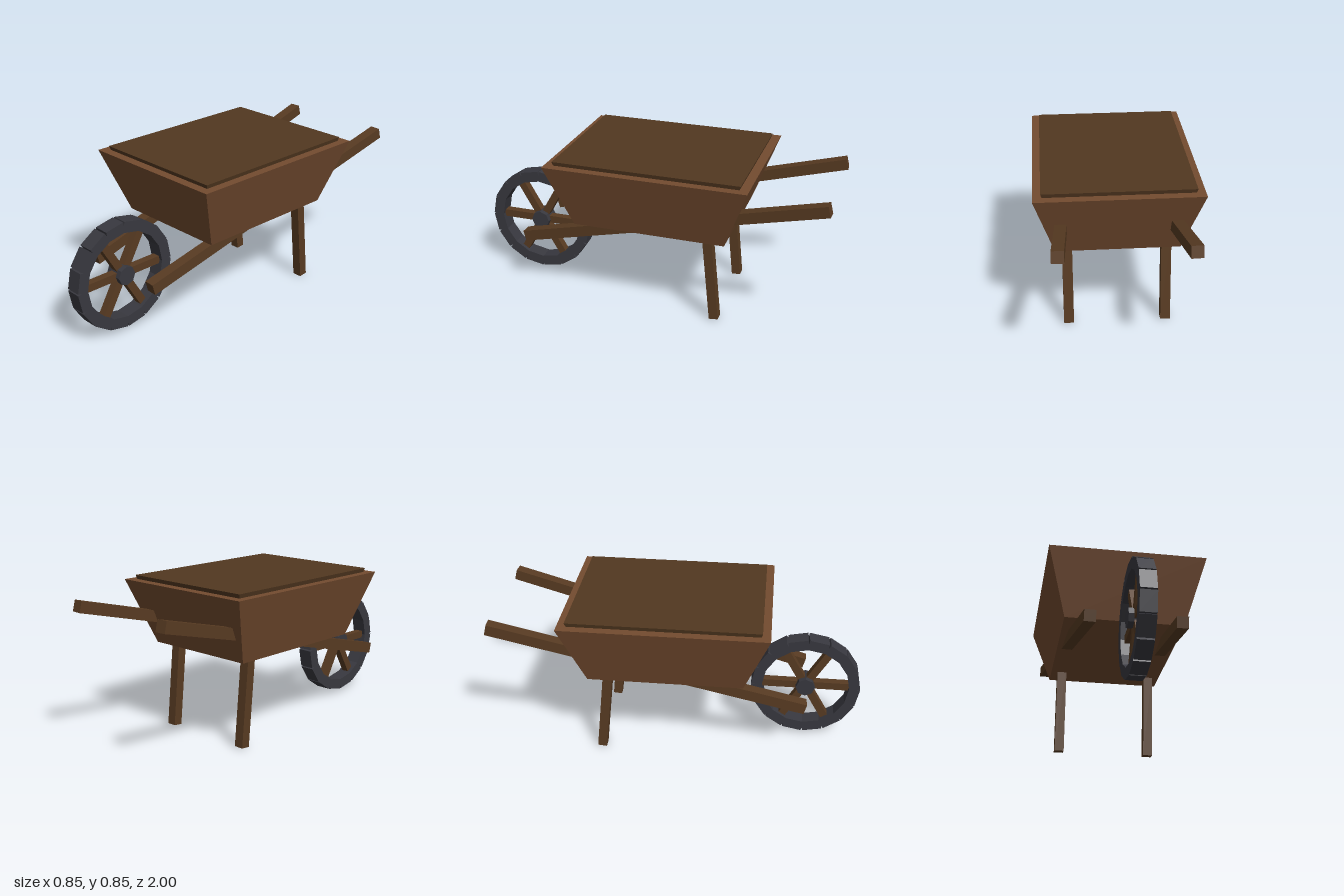
import * as THREE from 'three';

const flat = (name, color) => {
  const m = new THREE.MeshStandardMaterial({ color, flatShading: true });
  m.name = name;
  return m;
};

// Box whose top and bottom have different sizes, standing on y = 0
function taperedBox(topW, topD, bottomW, bottomD, height) {
  const g = new THREE.BoxGeometry(1, height, 1).translate(0, height / 2, 0);
  const p = g.attributes.position;
  for (let i = 0; i < p.count; i++) {
    const top = p.getY(i) > height / 2;
    p.setX(i, p.getX(i) * (top ? topW : bottomW));
    p.setZ(i, p.getZ(i) * (top ? topD : bottomD));
  }
  g.computeVertexNormals();
  return g;
}

export function createModel() {
  const tubWood = flat('tub wood', 0x734b2f);
  const frameWood = flat('frame wood', 0x583b22);
  const soil = flat('soil', 0x523820);
  const iron = flat('dark iron', 0x38383f);

  const model = new THREE.Group();
  model.name = 'wheelbarrow';

  const add = (parent, name, geometry, material) => {
    const mesh = new THREE.Mesh(geometry, material);
    mesh.name = name;
    parent.add(mesh);
    return mesh;
  };

  // Square beam running from point a to point b
  const beam = (name, a, b, w, h) => {
    const from = new THREE.Vector3(...a);
    const to = new THREE.Vector3(...b);
    const mesh = add(model, name, new THREE.BoxGeometry(w, h, from.distanceTo(to)), frameWood);
    mesh.position.copy(from).lerp(to, 0.5);
    mesh.lookAt(to);
    return mesh;
  };

  // Tub and its load
  add(model, 'tub', taperedBox(0.85, 1.09, 0.645, 0.83, 0.352), tubWood).position.set(0, 0.475, -0.053);
  add(model, 'load', taperedBox(0.77, 1.006, 0.72, 0.95, 0.09), soil).position.set(0, 0.759, -0.053);

  // Handles and legs, mirrored
  for (const [side, s] of [['left', 1], ['right', -1]]) {
    beam(side + 'Handle', [s * 0.23, 0.318, 0.697], [s * 0.315, 0.757, -0.99], 0.06, 0.06);
    beam(side + 'Leg', [s * 0.26, 0.003, -0.415], [s * 0.26, 0.52, -0.362], 0.053, 0.05);
  }

  // Wheel: rim blocks, spokes and hub around the x axis
  const wheel = new THREE.Group();
  wheel.name = 'wheel';
  wheel.position.set(0, 0.318, 0.7);
  model.add(wheel);
  const blocks = 16;
  for (let i = 0; i < blocks; i++) {
    const block = new THREE.BoxGeometry(0.085, 0.06, 0.109)
      .translate(0, 0.267, 0)
      .rotateX(((i + 0.5) / blocks) * Math.PI * 2);
    add(wheel, 'rimBlock', block, iron);
  }
  for (let i = 0; i < 3; i++) {
    const spoke = new THREE.BoxGeometry(0.043, 0.043, 0.49).rotateX((i * Math.PI) / 3);
    add(wheel, 'spokePair', spoke, frameWood);
  }
  add(wheel, 'hub', new THREE.CylinderGeometry(0.053, 0.053, 0.1, 8).rotateZ(Math.PI / 2), iron);

  return model;
}
